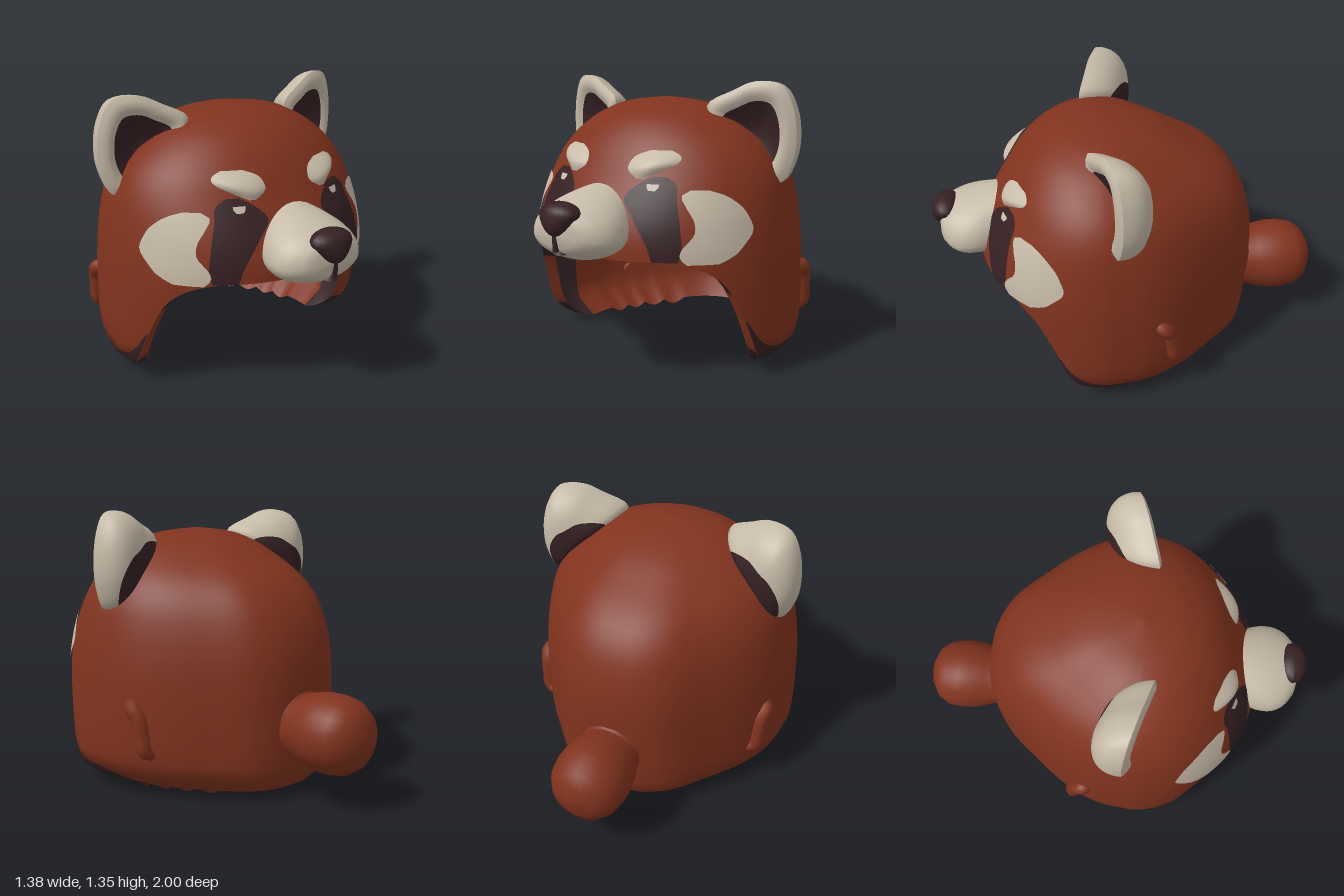
import * as THREE from 'three';
import { mergeVertices } from 'three/addons/utils/BufferGeometryUtils.js';

const mat = (name, color, side = THREE.FrontSide) => {
  const m = new THREE.MeshStandardMaterial({ color, side });
  m.name = name;
  return m;
};

// Smooth interpolation through rows of [key, value, value...]
function table(rows) {
  const n = rows[0].length - 1;
  const f = new THREE.CubicInterpolant(rows.map(r => r[0]), rows.flatMap(r => r.slice(1)), n, new Float32Array(n));
  return k => Array.from(f.evaluate(k));
}

// Smooth surface from fn(u, v) -> [x, y, z]; s = -1 mirrors it
function grid(nu, nv, fn, s = 1, flip = false) {
  const pos = [], idx = [];
  for (let j = 0; j <= nv; j++) for (let i = 0; i <= nu; i++) {
    const p = fn(i / nu, j / nv);
    pos.push(p[0] * s, p[1], p[2]);
  }
  const rev = (s < 0) !== flip;
  for (let j = 0; j < nv; j++) for (let i = 0; i < nu; i++) {
    const a = j * (nu + 1) + i, b = a + 1, c = b + nu + 1, d = a + nu + 1;
    if (rev) idx.push(a, c, b, a, d, c);
    else idx.push(a, b, c, a, c, d);
  }
  let g = new THREE.BufferGeometry();
  g.setAttribute('position', new THREE.Float32BufferAttribute(pos, 3));
  g.setIndex(idx);
  g = mergeVertices(g, 1e-5);
  g.computeVertexNormals();
  return g;
}

// Hood: height -> half width, front z, back z
const TOP = 1.262, ZC = 0.15, PI = Math.PI, lerp = THREE.MathUtils.lerp;
const hood = table([
  [0.03, 0.56, 0.62, -0.56], [0.07, 0.64, 0.67, -0.605], [0.15, 0.68, 0.71, -0.625],
  [0.3, 0.69, 0.735, -0.635], [0.6, 0.678, 0.77, -0.64], [0.7, 0.665, 0.755, -0.63], [0.8, 0.648, 0.715, -0.605],
  [0.92, 0.615, 0.645, -0.55], [1.03, 0.55, 0.58, -0.45], [1.13, 0.44, 0.5, -0.28],
  [1.2, 0.32, 0.405, -0.14], [1.245, 0.17, 0.28, 0.02], [TOP, 0, ZC, ZC]]);
// Tapering back half: share of the turn -> share of width, share of depth
const taper = table([[0, 1, 0], [0.2, 0.95, 0.25], [0.4, 0.82, 0.48], [0.6, 0.61, 0.71],
  [0.78, 0.39, 0.91], [0.9, 0.19, 0.985], [1, 0, 1]]);
// Lower edge: angle from the front -> height
const edge = table([[0, 0.575], [0.4, 0.577], [0.65, 0.573], [0.855, 0.53], [1, 0.45], [1.1, 0.32],
  [1.217, 0.15], [1.33, 0.065], [1.44, 0.033], [1.7, 0.03], [3.2, 0.03]]);
const edgeY = a => edge(Math.abs(a))[0];

function hoodPoint(a, y, off = 0) {
  const [w, zf, zb] = hood(y), b = Math.abs(a) / (PI / 2) - 1;
  if (b <= 0) return [(w + off) * Math.sin(a), y, ZC + Math.cos(a) * (zf - ZC + off)];
  const [sx, sz] = taper(Math.min(b, 1));
  return [Math.sign(a) * (w + off) * sx, y, ZC - sz * (ZC - zb + off)];
}
const outer = (a, t) => {
  const yb = edgeY(a);
  return hoodPoint(a, yb + (TOP - yb) * Math.sin(t * PI / 2));
};
// Lining, with a ragged hem on both sides
const inner = (a, t) => {
  const [x, y, z] = outer(a, t), b = Math.abs(a);
  const hem = b > 1.8 && b < 2.6 ? 0.03 * Math.abs(Math.sin((b - 1.8) * PI * 5)) * (1 - t) ** 30 : 0;
  return [x * 0.91, y - 0.05 * t - hem, 0.05 + (z - 0.05) * 0.93];
};
const wrap = a => a > PI ? a - 2 * PI : a;

export function createModel() {
  const root = new THREE.Group();
  const red = mat('rust fur', 0x81331e), cream = mat('cream fur', 0xc6baa7);
  const dark = mat('dark fur', 0x352023), lining = mat('dark lining', 0x3b272a, THREE.DoubleSide);
  const add = (name, geo, m) => {
    const mesh = new THREE.Mesh(geo, m);
    mesh.name = name;
    root.add(mesh);
    return mesh;
  };

  // Hollow hood: outside, inside and the edge between
  add('hood', grid(112, 28, (u, v) => outer(lerp(-PI, PI, u), v)), red);
  const inside = (name, a0, a1, m) =>
    add(name, grid(80, 24, (u, v) => inner(wrap(lerp(a0, a1, u)), v), 1, true), m);
  const rim = (name, a0, a1, m) => add(name, grid(80, 1, (u, v) => {
    const a = wrap(lerp(a0, a1, u)), p = inner(a, 0), q = outer(a, 0);
    return p.map((k, i) => lerp(k, q[i], v));
  }), m);
  inside('frontLining', -1.5, 1.5, lining);
  inside('backLining', 1.5, 2 * PI - 1.5, red);
  rim('faceRim', -1.03, 1.03, dark);
  rim('leftSideRim', 1.03, 1.25, red);
  rim('rightSideRim', -1.25, -1.03, red);
  rim('leftCornerRim', 1.25, 1.75, dark);
  rim('rightCornerRim', -1.75, -1.25, dark);
  rim('backRim', 1.75, 2 * PI - 1.75, red);

  // Tail at the back, with its rounded root inside the hood
  const tail = [[0.15, 0.55], [0.156, 0.64], [0.175, 0.7], [0.187, 0.77], [0.188, 0.83], [0.176, 0.9],
    [0.14, 0.955], [0.075, 0.99], [0, 1]].map(p => new THREE.Vector2(...p));
  const tailMesh = add('tail', new THREE.LatheGeometry(tail, 28), red);
  tailMesh.rotation.x = -PI / 2;
  tailMesh.position.y = 0.34;
  add('tailRoot', new THREE.SphereGeometry(0.19, 28, 20), red).position.set(0, 0.37, -0.51);

  // Muzzle: z -> half width, bottom, top; fuller towards the bottom
  const muzzle = table([[0.55, 0.16, 0.6, 0.905], [0.66, 0.19, 0.58, 0.895], [0.78, 0.228, 0.572, 0.87],
    [0.87, 0.215, 0.585, 0.84], [0.925, 0.165, 0.615, 0.815], [0.955, 0.1, 0.65, 0.785], [0.968, 0, 0.71, 0.71]]);
  add('muzzle', grid(32, 18, (u, v) => {
    const z = lerp(0.55, 0.968, Math.sin(v * PI / 2)), [w, lo, hi] = muzzle(z), a = u * 2 * PI;
    const mid = lerp(lo, hi, 0.4), s = Math.sin(a);
    return [w * Math.cos(a), mid + (s > 0 ? hi - mid : mid - lo) * s, z];
  }), cream);

  // Nose, narrowing downwards, with the line and mouth below it
  const nose = new THREE.SphereGeometry(1, 20, 14), np = nose.attributes.position;
  for (let i = 0; i < np.count; i++) {
    const y = np.getY(i), low = Math.min(y, 0);
    np.setXYZ(i, np.getX(i) * 0.107 * (1 + 0.4 * low), 0.795 + (y + 0.6 * low) * 0.058,
      0.925 + np.getZ(i) * 0.073 + low * -0.03);
  }
  nose.computeVertexNormals();
  add('nose', nose, dark);
  add('noseLine', new THREE.BoxGeometry(0.02, 0.08, 0.05), dark).position.set(0, 0.675, 0.945);
  add('mouth', new THREE.ConeGeometry(0.035, 0.04, 12), dark).position.set(0, 0.64, 0.93);

  // Face markings laid on the hood: rows of height, inner x, outer x
  const marking = (name, rows, m, s, off, bump = 0) => {
    const f = table(rows), y0 = rows[0][0], y1 = rows[rows.length - 1][0];
    add(name, grid(10, 16, (u, v) => {
      const y = lerp(y0, y1, v), [a, b] = f(y);
      return hoodPoint(Math.asin(Math.min(1, lerp(a, b, u) / hood(y)[0])), y,
        off + bump * Math.sin(u * PI) * Math.sin(v * PI));
    }, s), m);
  };

  // Ear outline, counter-clockwise from the outer base
  const earCurve = new THREE.CatmullRomCurve3([[0.62, 0.88], [0.675, 0.98], [0.69, 1.1], [0.67, 1.24],
    [0.615, 1.335], [0.5, 1.348], [0.4, 1.305], [0.28, 1.23], [0.38, 1.09], [0.5, 0.97]]
    .map(p => new THREE.Vector3(p[0], p[1], 0)), true);
  // Ring of the ear: scale about the middle, depth behind the rim plane
  const earPoint = (u, k, depth) => {
    const p = earCurve.getPoint(u % 1), x = lerp(0.485, p.x, k), y = lerp(1.1, p.y, k);
    return [x, y, 0.21 - 0.32 * (x - 0.3) - depth];
  };
  const earBack = k => 0.19 * Math.sqrt(1 - k ** 2.5);
  // Where the dark back base ends: high at the base, low at the tip
  const earSplit = u => 0.6 - 0.34 * Math.cos(2 * PI * (u - 0.4));

  for (const s of [-1, 1]) {
    const side = s > 0 ? 'left' : 'right';
    marking(side + 'Cheek', [[0.57, 0.45, 0.55], [0.6, 0.425, 0.59], [0.64, 0.43, 0.61], [0.7, 0.465, 0.625],
      [0.76, 0.455, 0.61], [0.82, 0.415, 0.578], [0.87, 0.39, 0.52], [0.888, 0.415, 0.475]], cream, s, 0.008);
    marking(side + 'EyePatch', [[0.58, 0.32, 0.42], [0.64, 0.3, 0.43], [0.7, 0.265, 0.42], [0.78, 0.205, 0.4],
      [0.85, 0.15, 0.375], [0.91, 0.2, 0.355], [0.94, 0.25, 0.31]], dark, s, 0.006);
    marking(side + 'EyeGlint', [[0.882, 0.25, 0.28], [0.895, 0.24, 0.288], [0.91, 0.235, 0.288]], cream, s, 0.012);
    marking(side + 'Brow', [[0.93, 0.18, 0.21], [0.96, 0.13, 0.27], [1.0, 0.125, 0.335], [1.03, 0.15, 0.33],
      [1.05, 0.2, 0.29]], cream, s, 0.01, 0.03);

    // Dark lower corner of the hood, deepest towards the front
    add(side + 'HoodCorner', grid(28, 6, (u, v) => {
      const a = lerp(1.12, 2.1, u);
      return hoodPoint(a, edgeY(a) + v * 0.095 * Math.sin(PI * u ** 0.7) ** 0.8, 0.006);
    }, s), dark);

    // Ear: cream rim and tip, dark hollow, dark base at the back
    add(side + 'EarRim', grid(40, 4, (u, v) => earPoint(u, 1 - 0.37 * v, -0.02 * Math.sin(v * PI)), s), cream);
    add(side + 'EarHollow', grid(40, 4, (u, v) => earPoint(u, 0.63 * (1 - v), 0.05 * Math.sin(v * PI / 2)), s), dark);
    add(side + 'EarBackBase', grid(40, 8, (u, v) => {
      const k = earSplit(u) * v;
      return earPoint(u, k, earBack(k));
    }, s), dark);
    add(side + 'EarBackTip', grid(40, 8, (u, v) => {
      const k = lerp(earSplit(u), 1, Math.sin(v * PI / 2));
      return earPoint(u, k, earBack(k));
    }, s), cream);

    // Small raised flap on the side
    const path = new THREE.CatmullRomCurve3([[0.59, 0.45, -0.08], [0.63, 0.435, -0.115], [0.618, 0.39, -0.15],
      [0.61, 0.31, -0.165], [0.6, 0.235, -0.175], [0.54, 0.21, -0.18]]
      .map(p => new THREE.Vector3(p[0] * s, p[1], p[2])));
    add(side + 'SideFlap', new THREE.TubeGeometry(path, 20, 0.038, 8), red);
  }
  return root;
}
